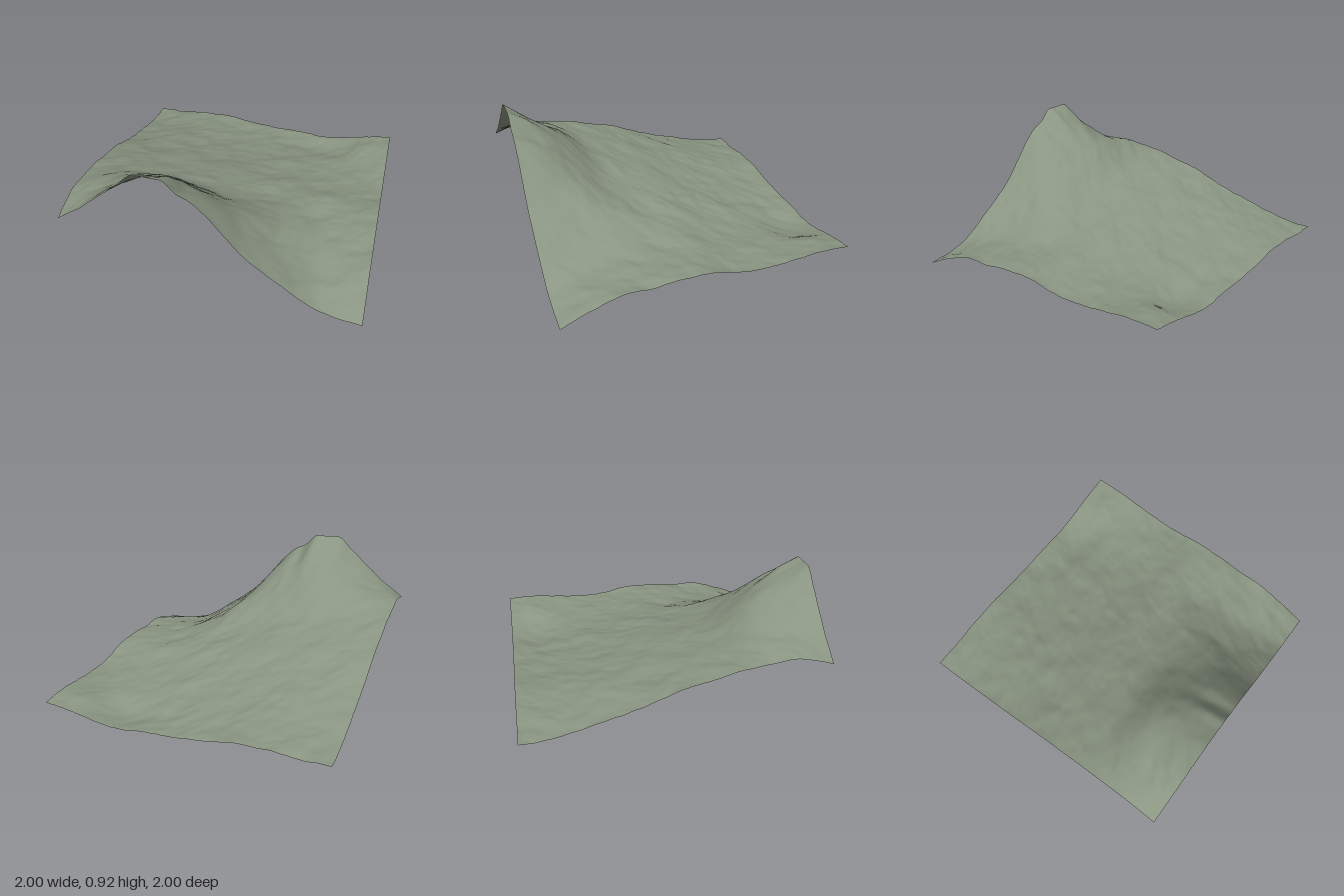
import * as THREE from 'three';

// Terrain heights in hundredths: rows run back (z = -1) to front (z = 1), columns x = -1 to 1
const HEIGHTS = [
  [13.5, 14.5, 15, 15, 12.5, 9.5, 7.5, 6, 7, 12, 14.5],
  [16, 17, 17.5, 16.5, 14.5, 12, 9, 6, 6.5, 12.5, 15],
  [21, 21.5, 21.5, 19.5, 17.5, 15, 12.5, 10.5, 10.5, 11.5, 13],
  [26.5, 26.5, 26, 24, 21.5, 19.5, 16.5, 14, 12.5, 11.5, 11.5],
  [32.5, 32, 31, 28.5, 26, 23.5, 20, 17, 14.5, 13, 12.5],
  [40, 39, 37.5, 35.5, 32.5, 29, 25, 21, 18.5, 17, 16.5],
  [46, 44.5, 43, 41, 37.5, 33, 28, 23.5, 19, 17, 16.5],
  [50.5, 50, 49.5, 48, 44, 39.5, 34, 26.5, 18.5, 16, 15],
  [54, 57, 61, 64.5, 60, 50.5, 41, 27, 17, 14.5, 14],
  [54, 60, 70, 79, 75, 63, 42.5, 26, 14.5, 10, 8.5],
  [47.5, 62, 80, 91, 84, 69, 43.5, 26.5, 13, 2.8, 0.5],
];
// Ledges and hollows near the summit: x, z, radius in x, radius in z, height
const LANDFORMS = [
  [-0.48, 1, 0.06, 0.15, 0.025],
  [-0.27, 0.92, 0.05, 0.22, 0.028],
  [-0.17, 0.9, 0.05, 0.22, -0.022],
];
const SEGMENTS = 128;

// Catmull-Rom value along a row of evenly spaced samples, t from 0 to 1
function spline(v, t) {
  const n = v.length - 1;
  const i = Math.min(Math.floor(t * n), n - 1);
  const f = t * n - i;
  const b = v[i], c = v[i + 1];
  const a = i > 0 ? v[i - 1] : 2 * b - c;
  const d = i + 2 <= n ? v[i + 2] : 2 * c - b;
  return b + 0.5 * f * (c - a + f * (2 * a - 5 * b + 4 * c - d + f * (3 * (b - c) + d - a)));
}

// Seeded smooth noise in -1..1
function hash(i, j) {
  const s = Math.sin(i * 127.1 + j * 311.7 + 17.3) * 43758.5453;
  return 2 * (s - Math.floor(s)) - 1;
}
function noise(x, y) {
  const i = Math.floor(x), j = Math.floor(y);
  const u = THREE.MathUtils.smootherstep(x - i, 0, 1);
  const v = THREE.MathUtils.smootherstep(y - j, 0, 1);
  const { lerp } = THREE.MathUtils;
  return lerp(lerp(hash(i, j), hash(i + 1, j), u), lerp(hash(i, j + 1), hash(i + 1, j + 1), u), v);
}

// Weathered bumps, stretched along the x = -z diagonal
function bumps(x, z) {
  const along = (x - z) * 0.707, across = (x + z) * 0.707;
  let sum = 0;
  for (let k = 0, f = 1; k < 3; k++, f *= 2) {
    sum += noise(along * 4.5 * f + 9 * k, across * 7 * f + 5 * k) / f;
  }
  return sum * 0.01;
}

function heightAt(x, z) {
  const column = HEIGHTS.map((row) => spline(row, (x + 1) / 2));
  let y = spline(column, (z + 1) / 2) / 100 + bumps(x, z);
  for (const [cx, cz, rx, rz, h] of LANDFORMS) {
    y += h * Math.exp(-(((x - cx) / rx) ** 2) - ((z - cz) / rz) ** 2);
  }
  return Math.max(0, y);
}

export function createModel() {
  const group = new THREE.Group();
  group.name = 'terrain';
  const stone = new THREE.MeshStandardMaterial({ color: 0x8a9582, side: THREE.DoubleSide });
  stone.name = 'grey green ground';

  // Square sheet lifted into a hillside
  const geometry = new THREE.PlaneGeometry(2, 2, SEGMENTS, SEGMENTS).rotateX(-Math.PI / 2);
  const p = geometry.attributes.position;
  for (let i = 0; i < p.count; i++) p.setY(i, heightAt(p.getX(i), p.getZ(i)));
  geometry.computeBoundingBox();
  geometry.translate(0, -geometry.boundingBox.min.y, 0);
  geometry.computeVertexNormals();

  const hillside = new THREE.Mesh(geometry, stone);
  hillside.name = 'hillside';
  group.add(hillside);
  return group;
}
